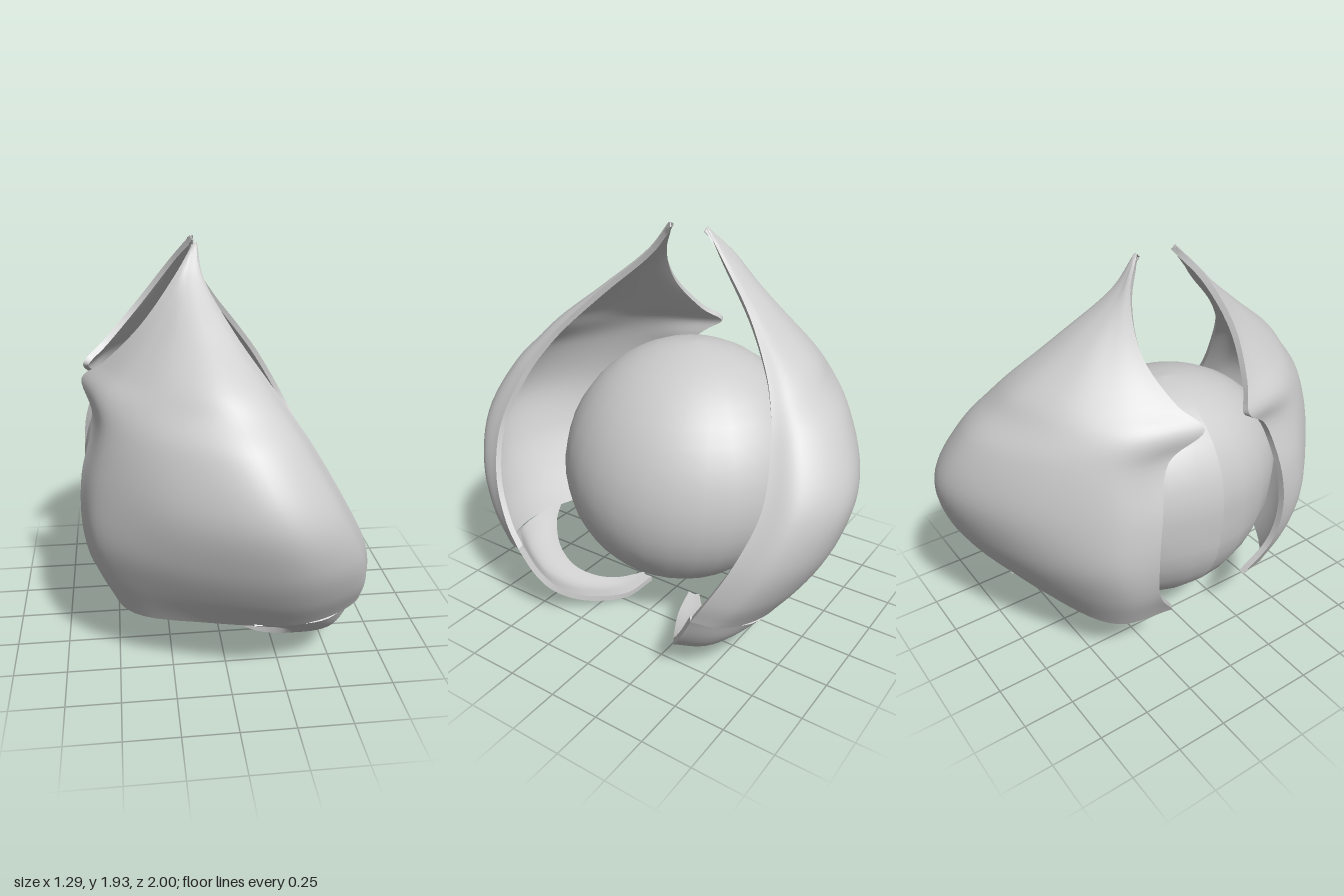
import * as THREE from 'three';
import { toCreasedNormals } from 'three/addons/utils/BufferGeometryUtils.js';

const THICKNESS = 0.028;

// Petal sections, top to bottom: height, then x, z of the rim, crown, shoulder and back edge
const PETAL = [
  [1.93, -0.085, 0.10, -0.091, 0.108, -0.097, 0.106, -0.10, 0.10],
  [1.80, -0.07, 0.20, -0.115, 0.22, -0.17, 0.215, -0.195, 0.20],
  [1.60, 0.04, 0.41, -0.09, 0.46, -0.28, 0.34, -0.35, 0.25],
  [1.42, 0.17, 0.57, -0.04, 0.69, -0.42, 0.41, -0.52, 0.19],
  [1.33, 0.235, 0.63, 0.01, 0.77, -0.50, 0.44, -0.62, 0.12],
  [1.20, 0.325, 0.69, 0.07, 0.89, -0.51, 0.51, -0.575, 0.27],
  [0.95, 0.47, 0.74, 0.18, 1.00, -0.56, 0.54, -0.635, 0.34],
  [0.72, 0.585, 0.68, 0.25, 0.96, -0.57, 0.55, -0.645, 0.36],
  [0.52, 0.64, 0.58, 0.28, 0.86, -0.54, 0.51, -0.615, 0.33],
  [0.40, 0.645, 0.51, 0.33, 0.73, -0.45, 0.46, -0.56, 0.22],
];
// Drop of the hem below the height of the last section
const HEM_DROP = [0, 0.055, 0.105, 0.055];

// Tongue curling below the petal: x, y, z of its rim and of its inner edge
const TONGUE = [
  [0.645, 0.40, 0.51, 0.10, 0.34, 0.72],
  [0.62, 0.27, 0.44, 0.22, 0.285, 0.66],
  [0.58, 0.18, 0.38, 0.30, 0.20, 0.57],
  [0.50, 0.10, 0.32, 0.31, 0.12, 0.47],
  [0.39, 0.04, 0.25, 0.25, 0.055, 0.37],
  [0.22, 0.003, 0.16, 0.16, 0.022, 0.28],
  [0.06, 0.03, 0.12, 0.05, 0.03, 0.18],
];

const vec = (x, y, z) => new THREE.Vector3(x, y, z);
const curve = (pts) => new THREE.CatmullRomCurve3(pts, false, 'centripetal');
// Point between a and b with separate blends for x, y and z
const blend = (a, b, tx, tz) => {
  const { lerp } = THREE.MathUtils;
  return vec(lerp(a.x, b.x, tx), lerp(a.y, b.y, (tx + tz) / 2), lerp(a.z, b.z, tz));
};

// Section round the petal, rounded out between its main points
function petalSection([y, ...xz], row) {
  const hem = row === PETAL.length - 1 ? 1 : 0;
  const [rim, crown, shoulder, back] = HEM_DROP.map((drop, k) =>
    vec(xz[2 * k], y - hem * drop, xz[2 * k + 1]));
  return curve([rim, blend(rim, crown, 0.2, 0.55), crown, blend(crown, shoulder, 0.55, 0.32), shoulder, back]);
}

// Section across the tongue, bulging outward in proportion to its width
function tongueSection(p) {
  const rim = vec(p[0], p[1], p[2]), edge = vec(p[3], p[4], p[5]);
  const middle = rim.clone().lerp(edge, 0.5)
    .addScaledVector(vec(0.6, -0.2, 0.75), 0.2 * rim.distanceTo(edge));
  return curve([rim, middle, edge]);
}

// Smooth sheet through the sections, thickened inward, with closed edges
function sheet(sections, nu, nv, mirror) {
  const outer = new Array((nu + 1) * (nv + 1));
  for (let i = 0; i <= nu; i++) {
    const column = curve(sections.map((c) => c.getPoint(i / nu)));
    for (let j = 0; j <= nv; j++) outer[j * (nu + 1) + i] = column.getPoint(j / nv);
  }

  const faces = [];
  for (let j = 0; j < nv; j++) {
    for (let i = 0; i < nu; i++) {
      const a = j * (nu + 1) + i, c = a + nu + 1;
      faces.push(a, a + 1, c, a + 1, c + 1, c);
    }
  }
  const skin = new THREE.BufferGeometry().setFromPoints(outer);
  skin.setIndex(faces);
  skin.computeVertexNormals();
  const normals = skin.attributes.normal;
  const inner = outer.map((p, k) =>
    p.clone().addScaledVector(vec().fromBufferAttribute(normals, k), -THICKNESS));

  const n = outer.length;
  const index = [...faces];
  for (let k = 0; k < faces.length; k += 3) {
    index.push(faces[k] + n, faces[k + 2] + n, faces[k + 1] + n);
  }
  // edge walls, walking round the border
  const border = [];
  for (let i = 0; i < nu; i++) border.push(i);
  for (let j = 0; j < nv; j++) border.push(j * (nu + 1) + nu);
  for (let i = nu; i > 0; i--) border.push(nv * (nu + 1) + i);
  for (let j = nv; j > 0; j--) border.push(j * (nu + 1));
  border.forEach((a, k) => {
    const b = border[(k + 1) % border.length];
    index.push(a, a + n, b, b, a + n, b + n);
  });
  if (mirror) index.reverse();

  const geometry = new THREE.BufferGeometry().setFromPoints([...outer, ...inner]);
  geometry.setIndex(index);
  if (mirror) geometry.scale(1, 1, -1);
  return toCreasedNormals(geometry, 0.8);
}

// Rounded core, leaning a little and fuller at its lower back
function coreGeometry() {
  const geometry = new THREE.SphereGeometry(1, 28, 20);
  const pos = geometry.attributes.position;
  for (let k = 0; k < pos.count; k++) {
    const x = pos.getX(k), y = pos.getY(k), z = pos.getZ(k);
    const swell = 1 + 0.22 * Math.max(0, -x) * Math.max(0, -y);
    pos.setXYZ(k, (0.555 * x - 0.1 * y) * swell, 0.585 * y * swell, 0.635 * z);
  }
  geometry.computeVertexNormals();
  return geometry;
}

export function createModel() {
  const model = new THREE.Group();
  const material = new THREE.MeshStandardMaterial({ color: 0xcccccc });
  const add = (parent, geometry, name) => {
    const mesh = new THREE.Mesh(geometry, material);
    mesh.name = name;
    parent.add(mesh);
    return mesh;
  };

  add(model, coreGeometry(), 'core').position.set(-0.07, 0.77, 0);

  // Two mirrored shells around the core
  for (const mirror of [false, true]) {
    const shell = new THREE.Group();
    shell.name = mirror ? 'backShell' : 'frontShell';
    add(shell, sheet(PETAL.map(petalSection), 36, 54, mirror), 'petal');
    add(shell, sheet(TONGUE.map(tongueSection), 16, 36, mirror), 'curledTongue');
    model.add(shell);
  }
  return model;
}
